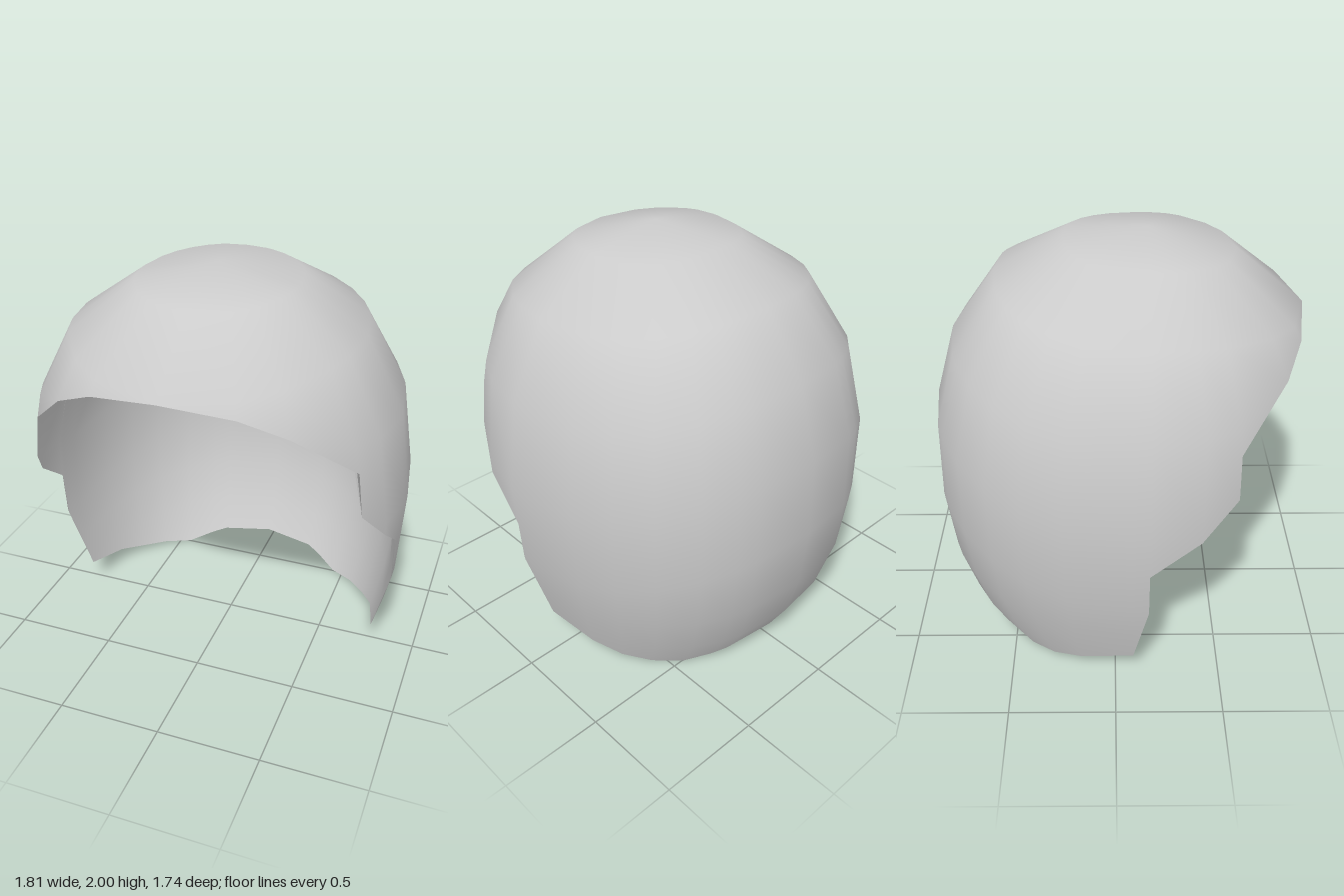
import * as THREE from 'three';

// Radii of the shell row by row, measured from the crown axis: [height, radius]
const SIDE = [[2, 0], [1.93, 0.37], [1.72, 0.67], [1.37, 0.85], [0.94, 0.907], [0.52, 0.88], [0.33, 0.84], [0.15, 0.79], [0.07, 0.765], [0, 0.74]];
const BACK = [[2, 0], [1.96, 0.38], [1.8, 0.7], [1.51, 0.91], [1.16, 1.01], [0.78, 1.02], [0.45, 0.98], [0.22, 0.91], [0.07, 0.82], [0, 0.77]];
const FRONT = [[2, 0], [1.9, 0.4], [1.635, 0.72], [1.5, 0.78], [1.28, 0.81], [1.07, 0.81], [0.73, 0.76], [0.5, 0.72], [0.2, 0.65], [0, 0.6]];
const AXIS_Z = 0.15;

// Rim of one half: [angle in degrees (90 = front, -90 = back), rim height]
const RIM = [
  [90, 1.63], [64.5, 1.59], [49, 1.5], [28, 1.28], // brow
  [28, 1.07], [16.5, 0.9], [0, 0.73], [0, 0.5], [-3, 0.15], // temple and cheek
  [-19, 0.09], [-31, 0.045], [-43, 0.022], [-56, 0], [-67, 0.035], [-73, 0.055], [-90, 0.075], // nape
];
const THICKNESS = 0.06;

// Rows are spaced by s = sqrt(2 - y), which opens the rounded crown evenly
const toS = (y) => Math.sqrt(2 - y);

function radius(table, s) {
  for (let i = 1; i < table.length; i++) {
    const s0 = toS(table[i - 1][0]);
    const s1 = toS(table[i][0]);
    if (s <= s1) return THREE.MathUtils.lerp(table[i - 1][1], table[i][1], (s - s0) / (s1 - s0));
  }
  return table[table.length - 1][1];
}

// Point on the shell: each level is a rounded oval with its own front, side and back radius
function shellPoint(degrees, s) {
  s = THREE.MathUtils.clamp(s, 0, Math.SQRT2);
  const a = THREE.MathUtils.degToRad(degrees);
  const c = Math.cos(a), f = Math.sin(a);
  const power = f < 0 ? 2 / 2.28 : 1;
  const bend = (v) => Math.sign(v) * Math.abs(v) ** power;
  return new THREE.Vector3(
    radius(SIDE, s) * bend(c),
    2 - s * s,
    AXIS_Z + radius(f < 0 ? BACK : FRONT, s) * bend(f),
  );
}

function shellNormal(degrees, s) {
  if (s < 1e-4) return new THREE.Vector3(0, 1, 0);
  const down = shellPoint(degrees, s + 0.12).sub(shellPoint(degrees, s - 0.12));
  const across = shellPoint(degrees - 8, s).sub(shellPoint(degrees + 8, s));
  return down.cross(across).normalize();
}

// Rows tilt from the side heights to the front or back heights
function rowS(degrees, row) {
  const f = Math.sin(THREE.MathUtils.degToRad(degrees));
  return toS(THREE.MathUtils.lerp(SIDE[row][0], (f < 0 ? BACK : FRONT)[row][0], f * f));
}

// Outer skin, or the inner lining that tapers to meet it at the rim
function shellGeometry(inner) {
  const mirrored = RIM.slice(0, -1).reverse().map(([a, y]) => [180 - a, y]);
  const columns = [...RIM, ...mirrored];
  const rows = SIDE.length;
  const positions = [], normals = [], index = [];
  columns.forEach(([angle, rimY], i) => {
    const rimS = toS(rimY);
    for (let j = 0; j < rows; j++) {
      // Rows below the rim gather on it
      const s = j === rows - 1 ? rimS : Math.min(rimS, rowS(angle, j));
      const p = shellPoint(angle, s);
      const n = shellNormal(angle, s);
      if (inner) {
        p.addScaledVector(n, -THICKNESS * Math.min(1, (rimS - s) / 0.35));
        n.negate();
      }
      positions.push(p.x, p.y, p.z);
      normals.push(n.x, n.y, n.z);
      if (i === columns.length - 1 || j === rows - 1) continue;
      const a = i * rows + j, b = a + rows;
      const faces = [[a, a + 1, b + 1]];
      if (j > 0) faces.push([a, b + 1, b]);
      for (const face of faces) index.push(...(inner ? face.reverse() : face));
    }
  });
  const geometry = new THREE.BufferGeometry();
  geometry.setAttribute('position', new THREE.Float32BufferAttribute(positions, 3));
  geometry.setAttribute('normal', new THREE.Float32BufferAttribute(normals, 3));
  geometry.setIndex(index);
  return geometry;
}

export function createModel() {
  const group = new THREE.Group();
  group.name = 'helmet';
  const material = new THREE.MeshStandardMaterial({ color: 0xcccccc, side: THREE.DoubleSide });
  for (const [name, inner] of [['outerShell', false], ['innerLining', true]]) {
    const mesh = new THREE.Mesh(shellGeometry(inner), material);
    mesh.name = name;
    group.add(mesh);
  }
  return group;
}
